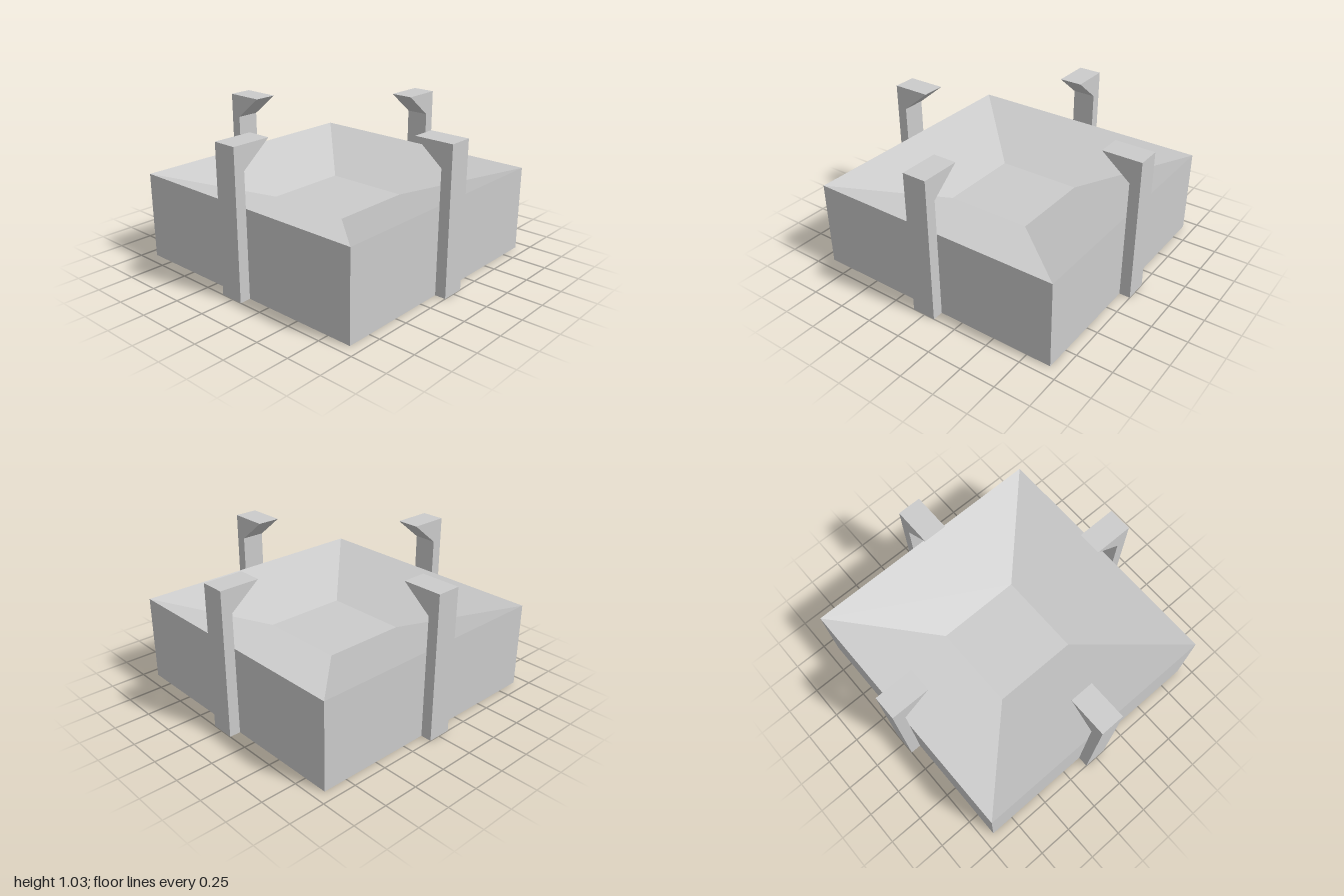
import * as THREE from 'three';

const material = new THREE.MeshStandardMaterial({ color: 0xcccccc, flatShading: true });

// Square block with a sunken, sloping basin: a four-sided lathe
function makeBasin() {
  const profile = [[0, 0], [0.922, 0], [0.922, 0.615], [0.31, 0.43], [0, 0.43]]
    .map(([half, y]) => new THREE.Vector2(half * Math.SQRT2, y));
  const geometry = new THREE.LatheGeometry(profile, 4, Math.PI / 4).toNonIndexed();
  geometry.computeVertexNormals();
  const basin = new THREE.Mesh(geometry, material);
  basin.name = 'basin';
  return basin;
}

// Upright strap with a hooked, tapering tip pointing inward
function makeArmGeometry() {
  const width = 0.17;
  const shape = new THREE.Shape([
    [0.922, 0], [1, 0], [1, 1.027], [0.72, 1.027], [0.925, 0.86],
  ].map(([x, y]) => new THREE.Vector2(x, y)));
  const geometry = new THREE.ExtrudeGeometry(shape, { depth: width, bevelEnabled: false });
  return geometry.translate(0, 0, -width / 2);
}

export function createModel() {
  const model = new THREE.Group();
  model.name = 'squareBasin';
  model.add(makeBasin());

  // One arm in the middle of each side
  const armGeometry = makeArmGeometry();
  ['leftArm', 'backArm', 'rightArm', 'frontArm'].forEach((name, i) => {
    const arm = new THREE.Mesh(armGeometry, material);
    arm.name = name;
    arm.rotation.y = i * Math.PI / 2;
    if (i % 2) arm.position.x = -0.01;
    else arm.position.z = 0.005;
    model.add(arm);
  });
  return model;
}
